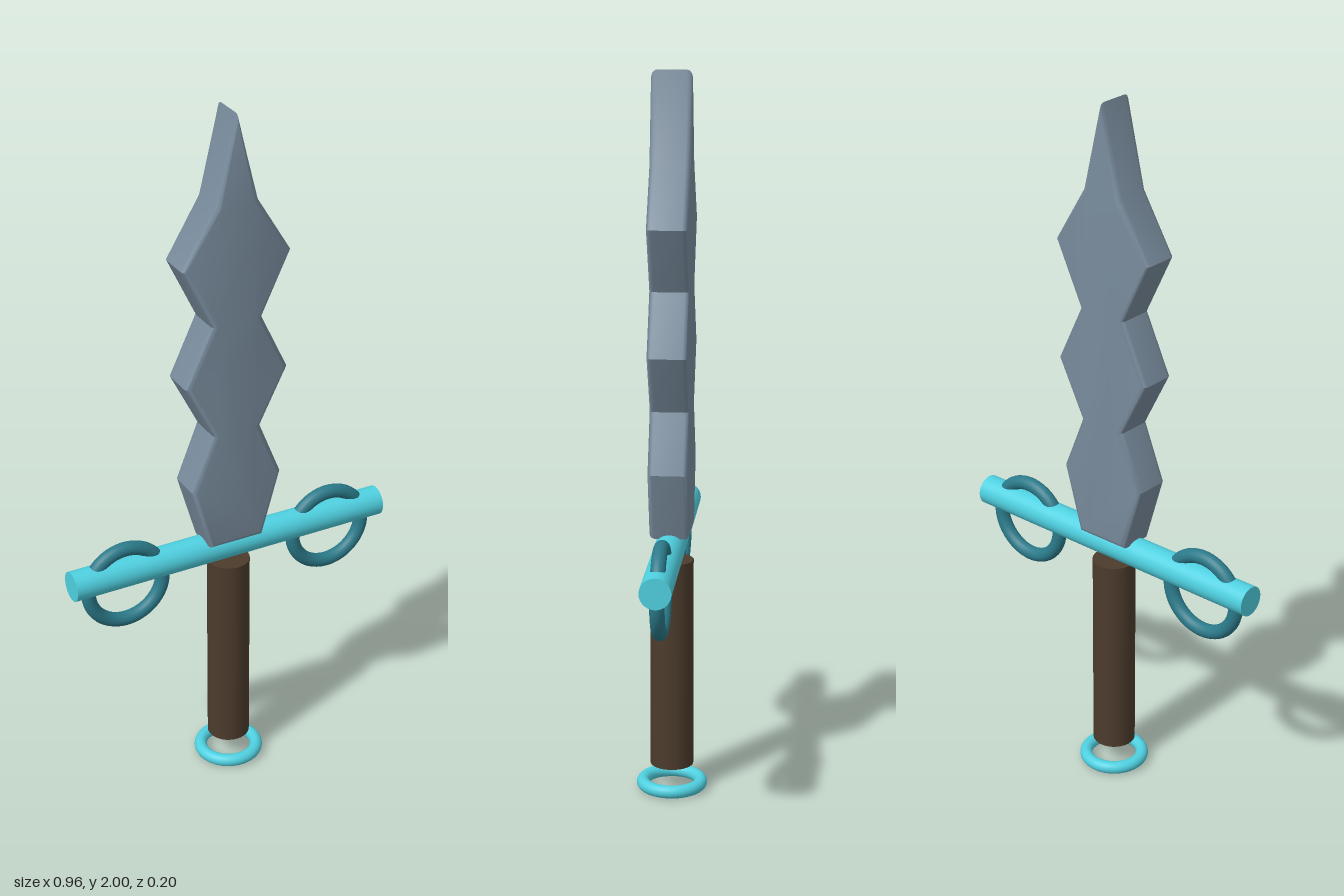
import * as THREE from 'three';
import { toCreasedNormals } from 'three/addons/utils/BufferGeometryUtils.js';

export function createModel() {
  const group = new THREE.Group();
  const steel = new THREE.MeshStandardMaterial({ color: 0x788b9c });
  const cyan = new THREE.MeshStandardMaterial({ color: 0x4fd0e0 });
  const teal = new THREE.MeshStandardMaterial({ color: 0x2b7a8a });
  const brown = new THREE.MeshStandardMaterial({ color: 0x4c3b2c });

  const add = (name, geometry, material, x, y, z = 0) => {
    const mesh = new THREE.Mesh(geometry, material);
    mesh.name = name;
    mesh.position.set(x, y, z);
    group.add(mesh);
    return mesh;
  };

  // Wavy blade: half outline [x, y] mirrored, extruded with soft edges
  const half = [
    [0.08, 0.75], [0.135, 0.94], [0.071, 1.1], [0.152, 1.26],
    [0.074, 1.425], [0.158, 1.6], [0.061, 1.76],
  ];
  const outline = [
    ...half, [0, 2],
    ...half.map(([x, y]) => [-x, y]).reverse(),
  ].map(([x, y]) => new THREE.Vector2(x, y));
  const thickness = 0.11, bevel = 0.015;
  const blade = new THREE.ExtrudeGeometry(new THREE.Shape(outline), {
    depth: thickness - 2 * bevel,
    bevelThickness: bevel,
    bevelSize: bevel,
    bevelOffset: -bevel,
    bevelSegments: 4,
  });
  blade.translate(0, 0, -thickness / 2 + bevel);
  add('blade', toCreasedNormals(blade, 0.6), steel, 0, 0);

  // Crossguard bar
  const bar = new THREE.CylinderGeometry(0.042, 0.042, 0.956, 40);
  bar.rotateZ(Math.PI / 2);
  add('crossguard', bar, cyan, 0, 0.72);

  // Finger rings hanging through the bar
  for (const [name, side] of [['leftGuardRing', 1], ['rightGuardRing', -1]]) {
    add(name, new THREE.TorusGeometry(0.112, 0.02, 20, 64), teal, side * 0.317, 0.68);
  }

  // Grip
  add('grip', new THREE.CylinderGeometry(0.06, 0.06, 0.595, 40), brown, 0, 0.3725);

  // Pommel ring, lying flat
  const pommel = new THREE.TorusGeometry(0.081, 0.018, 20, 64);
  pommel.rotateX(Math.PI / 2);
  add('pommelRing', pommel, cyan, 0, 0.018);

  return group;
}
